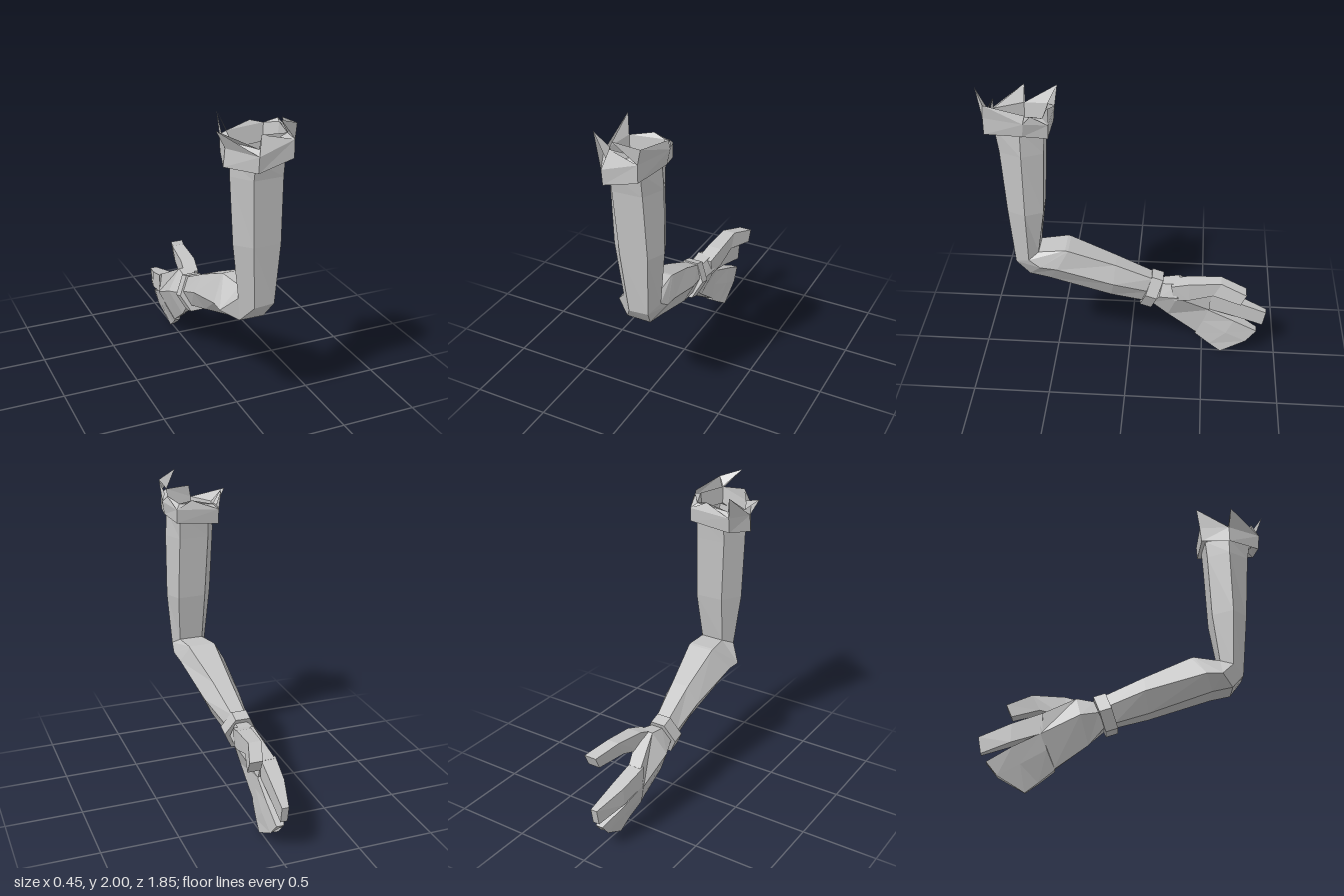
import * as THREE from 'three';

const skin = new THREE.MeshStandardMaterial({ color: 0xc4c4c4, side: THREE.DoubleSide, flatShading: true });
skin.name = 'plain grey';

// Makes a faceted mesh from a list of triangles
function facets(name, tris) {
  const geometry = new THREE.BufferGeometry();
  geometry.setAttribute('position', new THREE.Float32BufferAttribute(tris.flat(2), 3));
  geometry.computeVertexNormals();
  const mesh = new THREE.Mesh(geometry, skin);
  mesh.name = name;
  return mesh;
}

// Triangles joining cross-sections of equal point count, with optional end caps
function loftTris(sections, capStart, capEnd) {
  const tris = [];
  const n = sections[0].length;
  for (let s = 0; s < sections.length - 1; s++) {
    const a = sections[s], b = sections[s + 1];
    for (let i = 0; i < n; i++) {
      const j = (i + 1) % n;
      tris.push([a[i], a[j], b[j]], [a[i], b[j], b[i]]);
    }
  }
  const cap = (loop, flip) => {
    for (let i = 1; i < n - 1; i++) {
      tris.push(flip ? [loop[0], loop[i + 1], loop[i]] : [loop[0], loop[i], loop[i + 1]]);
    }
  };
  if (capStart) cap(sections[0], true);
  if (capEnd) cap(sections[sections.length - 1], false);

  // Turn the faces outward
  const o = new THREE.Vector3(...sections[0][0]);
  let volume = 0;
  for (const t of tris) {
    const [p, q, r] = t.map((v) => new THREE.Vector3(...v).sub(o));
    volume += p.dot(q.cross(r));
  }
  return volume < 0 ? tris.map(([p, q, r]) => [p, r, q]) : tris;
}

const loft = (name, sections, capStart = true, capEnd = true) =>
  facets(name, loftTris(sections, capStart, capEnd));

// Box-like finger section: inner and outer x, top [y, z], bottom [y, z]
const quad = (x0, x1, [ty, tz], [by, bz]) => [[x0, ty, tz], [x1, ty, tz], [x1, by, bz], [x0, by, bz]];

export function createModel() {
  const model = new THREE.Group();
  model.name = 'arm';

  // Section order: front left, front right, right, back right, back left, left
  const elbow = [[0, 0.79, 0.73], [0.13, 0.8, 0.73], [0.17, 0.84, 0.64], [0.13, 0.88, 0.58], [-0.03, 0.88, 0.58], [-0.075, 0.84, 0.66]];
  model.add(loft('upperArm', [
    [[-0.05, 1.74, 0.81], [0.14, 1.78, 0.8], [0.19, 1.79, 0.64], [0.14, 1.78, 0.5], [-0.06, 1.74, 0.51], [-0.14, 1.72, 0.66]],
    [[-0.05, 1.62, 0.79], [0.14, 1.62, 0.78], [0.2, 1.62, 0.64], [0.14, 1.62, 0.51], [-0.06, 1.62, 0.52], [-0.14, 1.62, 0.66]],
    [[-0.03, 1.2, 0.765], [0.15, 1.2, 0.755], [0.2, 1.2, 0.64], [0.15, 1.2, 0.53], [-0.04, 1.2, 0.54], [-0.12, 1.2, 0.67]],
    elbow,
  ], false, false));

  // Forearm bends forward out of the elbow
  const wrist = [[-0.07, 0.435, -0.09], [0.02, 0.435, -0.09], [0.05, 0.53, -0.14], [0.02, 0.615, -0.16], [-0.07, 0.615, -0.16], [-0.115, 0.53, -0.13]];
  model.add(loft('forearm', [
    elbow,
    [[-0.06, 0.685, 0.65], [0.1, 0.685, 0.65], [0.18, 0.79, 0.57], [0.12, 0.89, 0.41], [-0.06, 0.89, 0.41], [-0.16, 0.74, 0.58]],
    [[-0.06, 0.655, 0.52], [0.1, 0.655, 0.52], [0.17, 0.77, 0.46], [0.12, 0.885, 0.39], [-0.06, 0.885, 0.39], [-0.155, 0.74, 0.48]],
    [[-0.06, 0.505, 0.12], [0.06, 0.505, 0.12], [0.12, 0.63, 0.1], [0.06, 0.745, 0.09], [-0.06, 0.745, 0.09], [-0.13, 0.63, 0.1]],
    wrist,
  ], false, true));

  // Wristband
  const band = [[-0.08, 0.4, -0.07], [0.02, 0.4, -0.07], [0.08, 0.52, -0.11], [0.02, 0.63, -0.15], [-0.08, 0.63, -0.15], [-0.14, 0.51, -0.11]];
  model.add(loft('wristband', [band, band.map(([x, y, z]) => [x, y - 0.025, z - 0.075])]));

  // Palm widens downward toward the knuckles
  model.add(loft('palm', [
    [[-0.07, 0.41, -0.15], [0.01, 0.41, -0.15], [0.05, 0.49, -0.2], [0.02, 0.58, -0.22], [-0.06, 0.58, -0.22], [-0.11, 0.49, -0.19]],
    [[-0.07, 0.29, -0.25], [0, 0.31, -0.26], [0.07, 0.5, -0.32], [0.04, 0.6, -0.34], [-0.06, 0.6, -0.33], [-0.15, 0.46, -0.3]],
    [[-0.05, 0.14, -0.46], [-0.01, 0.15, -0.46], [-0.01, 0.35, -0.54], [-0.03, 0.47, -0.55], [-0.12, 0.47, -0.55], [-0.135, 0.34, -0.54]],
  ]));

  // Thumb
  model.add(loft('thumb', [
    quad(-0.04, 0.06, [0.585, -0.28], [0.47, -0.3]),
    quad(-0.02, 0.08, [0.625, -0.4], [0.495, -0.4]),
    quad(0, 0.085, [0.645, -0.61], [0.545, -0.56]),
    quad(0.055, 0.14, [0.6, -0.775], [0.52, -0.74]),
  ]));

  // Index finger
  model.add(loft('indexFinger', [
    quad(-0.13, -0.03, [0.475, -0.53], [0.345, -0.53]),
    quad(-0.11, -0.02, [0.415, -0.72], [0.295, -0.72]),
    quad(-0.055, -0.01, [0.345, -0.925], [0.24, -0.905]),
  ]));

  // Remaining fingers held together as one slab
  model.add(loft('joinedFingers', [
    [[-0.13, 0.35, -0.53], [-0.1, 0.25, -0.5], [-0.05, 0.14, -0.45], [-0.01, 0.14, -0.45], [-0.01, 0.25, -0.5], [-0.01, 0.35, -0.53]],
    [[-0.1, 0.27, -0.71], [-0.07, 0.17, -0.66], [-0.025, 0.065, -0.55], [0.005, 0.065, -0.55], [0.01, 0.17, -0.66], [0, 0.27, -0.71]],
    [[-0.05, 0.19, -0.87], [-0.04, 0.105, -0.8], [-0.015, 0.005, -0.63], [0.015, 0.01, -0.63], [0.01, 0.105, -0.8], [0, 0.19, -0.87]],
  ]));

  // Sleeve cuff: a tilted ring around the arm, hollow at the top
  const hem = [[-0.06, 1.69, 0.865], [0.16, 1.75, 0.86], [0.21, 1.77, 0.62], [0.17, 1.74, 0.475], [-0.12, 1.71, 0.48], [-0.18, 1.68, 0.66]];
  const rim = [[-0.06, 1.79, 0.875], [0.16, 1.86, 0.86], [0.225, 1.86, 0.61], [0.17, 1.83, 0.47], [-0.12, 1.81, 0.47], [-0.17, 1.79, 0.66]];
  const inset = (loop, k, dy) => loop.map(([x, y, z]) => [0.02 + (x - 0.02) * k, y + dy, 0.66 + (z - 0.66) * k]);
  model.add(loft('cuff', [inset(hem, 0.78, 0.03), hem, rim, inset(rim, 0.8, 0.03), inset(rim, 0.74, -0.08)], false, false));

  // Torn points standing on the rim: [first corner, second corner, tip]
  const points = [
    [0, 1, [-0.03, 1.9, 0.83]],
    [5, 0, [-0.23, 1.9, 0.67]],
    [4, 5, [-0.13, 1.95, 0.45]],
    [3, 4, [0.06, 1.88, 0.49]],
    [2, 3, [0.2, 1.9, 0.57]],
  ];
  const inner = inset(rim, 0.8, 0.03);
  const torn = [];
  for (const [a, b, tip] of points) {
    torn.push([rim[a], rim[b], tip], [inner[b], inner[a], tip]);
  }
  // Largest torn flap on the front right corner
  const flapTip = [0.04, 2, 0.92], fold = [0.175, 1.95, 0.85], side = [0.21, 1.91, 0.6];
  torn.push([rim[1], fold, flapTip], [rim[1], rim[2], fold], [rim[2], side, fold], [inner[1], flapTip, fold]);
  model.add(facets('tornEdge', torn));

  return model;
}
